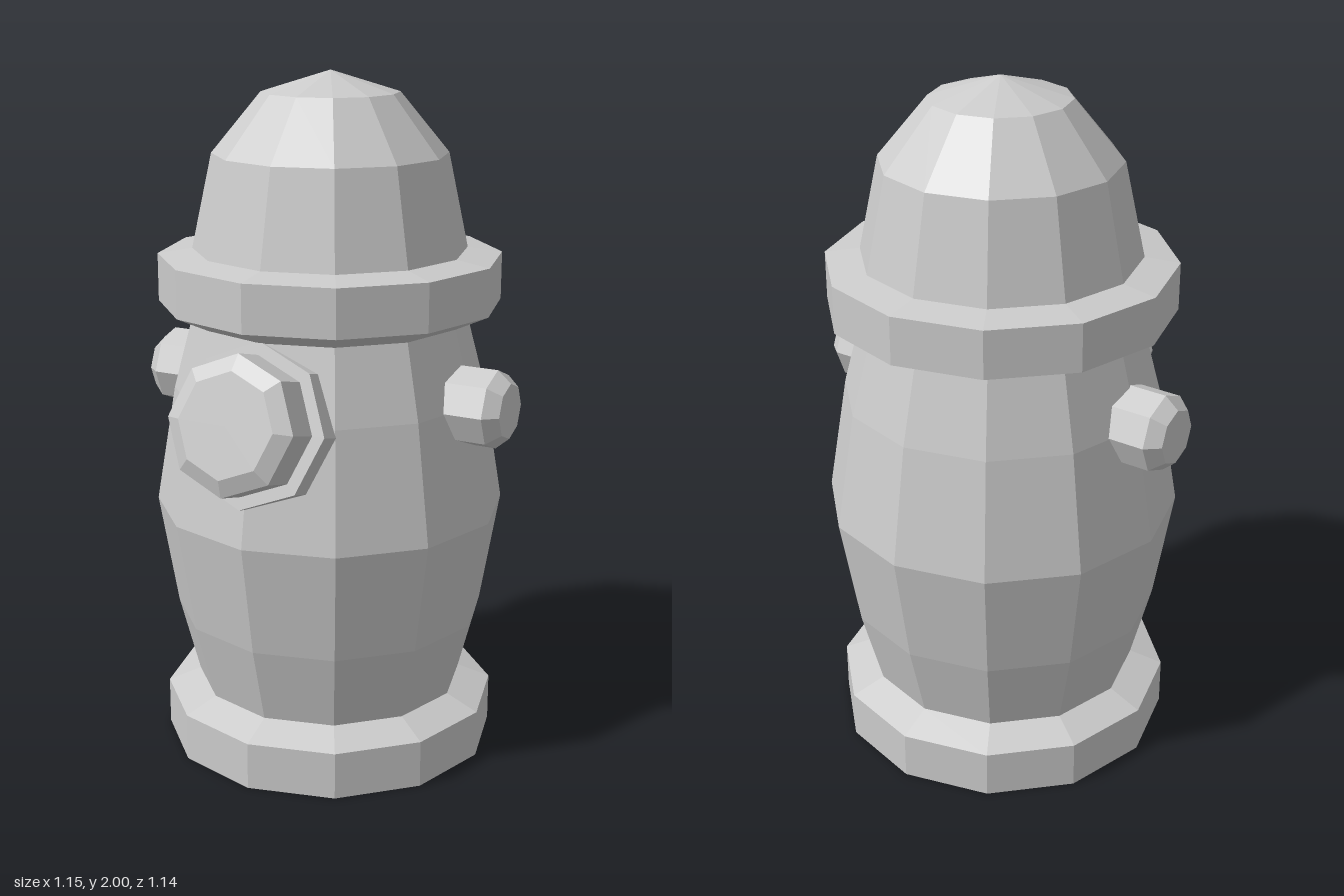
import * as THREE from 'three';

const material = new THREE.MeshStandardMaterial({
  color: 0xcccccc, flatShading: true, side: THREE.DoubleSide,
});

// Faceted solid of revolution from [radius, height] pairs, bottom to top
function turned(name, profile, sides) {
  const points = profile.map(([r, y]) => new THREE.Vector2(r, y));
  const mesh = new THREE.Mesh(new THREE.LatheGeometry(points, sides), material);
  mesh.name = name;
  return mesh;
}

export function createModel() {
  const model = new THREE.Group();
  model.name = 'fireHydrant';
  const axisZ = -0.057;

  // Main column: a hollow shell, open underneath
  const column = new THREE.Group();
  column.name = 'column';
  column.position.z = axisZ;
  column.add(
    turned('baseFlange', [[0.497, 0], [0.497, 0.14], [0.4, 0.18]], 12),
    turned('barrel', [[0.4, 0.18], [0.46, 0.41], [0.515, 0.74], [0.457, 1.085], [0.4, 1.3]], 12),
    turned('topFlange', [[0.4, 1.3], [0.497, 1.345], [0.497, 1.483], [0.397, 1.498]], 12),
    turned('dome', [[0.397, 1.498], [0.338, 1.77], [0.197, 1.94], [0, 2]], 12),
  );
  model.add(column);

  // Small bevelled outlets on both sides
  for (const side of [1, -1]) {
    const outlet = turned(side > 0 ? 'leftOutlet' : 'rightOutlet',
      [[0.114, 0.38], [0.114, 0.535], [0.08, 0.575], [0, 0.575]], 8);
    outlet.rotation.z = -side * Math.PI / 2;
    outlet.position.set(0, 1.088, -0.047);
    model.add(outlet);
  }

  // Large front outlet with a collar, tipped upward to follow the barrel
  const front = new THREE.Group();
  front.name = 'frontOutlet';
  front.add(
    turned('collar', [[0.232, -0.2], [0.232, -0.105], [0.195, -0.105]], 8),
    turned('cap', [[0.195, -0.105], [0.195, 0], [0.147, 0.025], [0, 0.025]], 8),
  );
  front.rotation.x = Math.PI / 2 - THREE.MathUtils.degToRad(15);
  front.position.set(0, 1.11, 0.508);
  model.add(front);

  return model;
}
